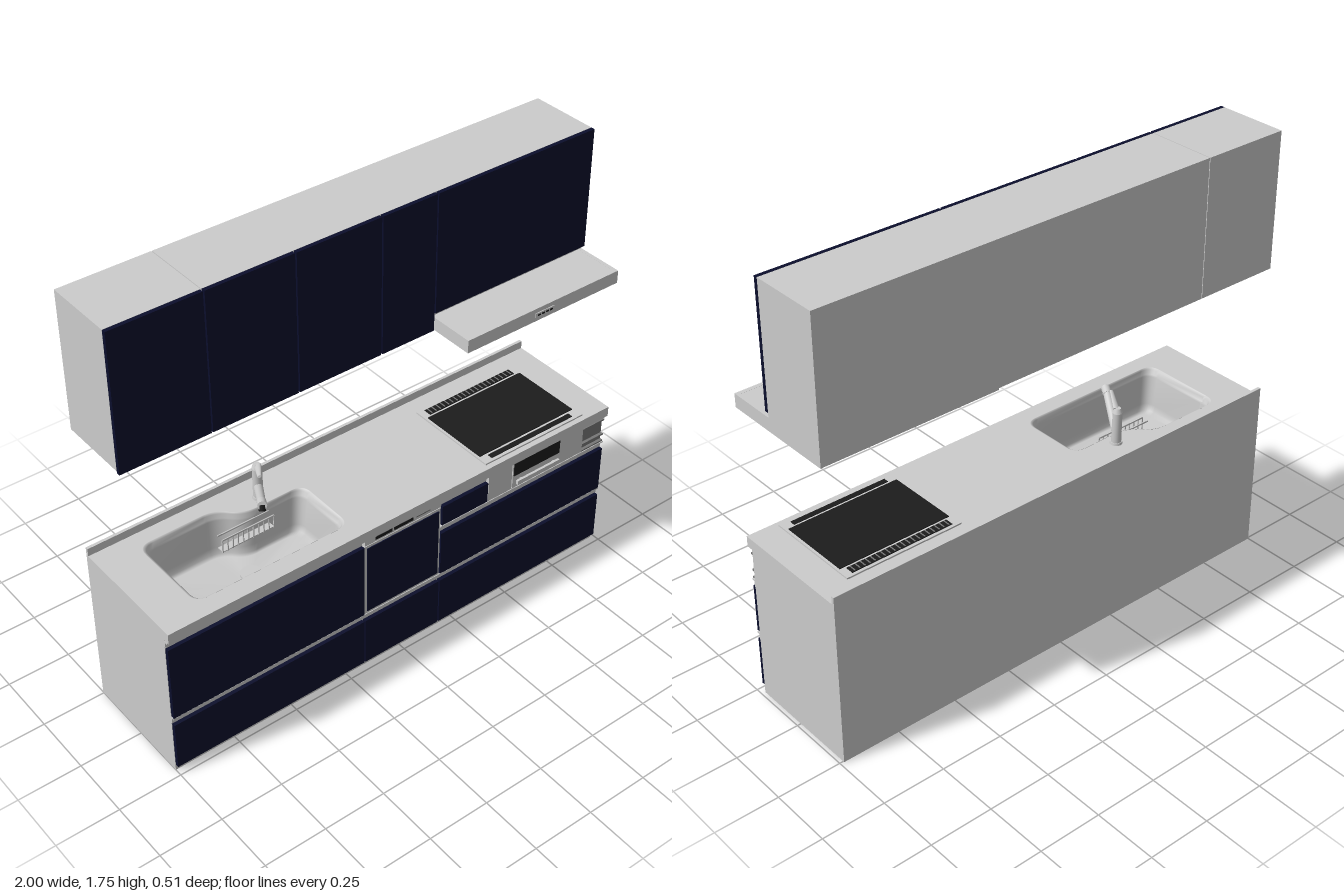
import * as THREE from 'three';

const mat = (color) => new THREE.MeshStandardMaterial({ color });
const grey = mat(0xcccccc);
const navy = mat(0x0b0e2c);
const black = mat(0x1c1c1c);
const dark = mat(0x777777);
const sinkMat = new THREE.MeshStandardMaterial({ color: 0xcccccc, side: THREE.DoubleSide });

export function createModel() {
  const root = new THREE.Group();

  const add = (name, geo, material = grey, parent = root) => {
    const m = new THREE.Mesh(geo, material);
    m.name = name;
    parent.add(m);
    return m;
  };
  // Box given by its extents on each axis
  const box = (name, x0, x1, y0, y1, z0, z1, material = grey, parent = root) => {
    const m = add(name, new THREE.BoxGeometry(x1 - x0, y1 - y0, z1 - z0), material, parent);
    m.position.set((x0 + x1) / 2, (y0 + y1) / 2, (z0 + z1) / 2);
    return m;
  };
  const group = (name) => {
    const g = new THREE.Group();
    g.name = name;
    root.add(g);
    return g;
  };
  // Rectangle in x / z
  const rect = (Type, x0, x1, z0, z1) => {
    const p = new Type();
    p.moveTo(x0, z0).lineTo(x1, z0).lineTo(x1, z1).lineTo(x0, z1).closePath();
    return p;
  };
  // Slab lying flat, extruded down from y = top
  const slab = (name, shape, top, depth, material, parent) => {
    const geo = new THREE.ExtrudeGeometry(shape, { depth, bevelEnabled: false, curveSegments: 8 });
    geo.rotateX(Math.PI / 2);
    add(name, geo, material, parent).position.y = top;
  };
  // Tapered rod between two points
  const rod = (name, a, b, ra, rb, material, parent) => {
    const A = new THREE.Vector3(...a), B = new THREE.Vector3(...b);
    const dir = B.clone().sub(A);
    const m = add(name, new THREE.CylinderGeometry(rb, ra, dir.length(), 20), material, parent);
    m.position.copy(A).add(B).multiplyScalar(0.5);
    m.quaternion.setFromUnitVectors(new THREE.Vector3(0, 1, 0), dir.normalize());
    return m;
  };

  // ---- Base cabinet carcass (open on top so the sink can drop in)
  const base = group('baseCabinet');
  const L = -1, R = 0.985, B = -0.255, F = 0.22;
  box('basePanelBack', L, R, 0, 0.63, B, B + 0.015, grey, base);
  box('basePanelFront', L, R, 0, 0.63, F - 0.015, F, grey, base);
  box('basePanelSide', L, L + 0.015, 0, 0.63, B, F, grey, base);
  box('basePanelSide', R - 0.015, R, 0, 0.63, B, F, grey, base);
  box('baseFloor', L, R, 0, 0.015, B, F, grey, base);

  // ---- Drawer fronts and handle rails
  const fronts = group('drawerFronts');
  const front = (x0, x1, y0, y1) => box('drawerFront', x0, x1, y0, y1, F + 0.003, 0.238, navy, fronts);
  [[L, -0.18], [-0.175, 0.17], [0.175, 0.982]].forEach(([x0, x1]) => front(x0, x1, 0.03, 0.235));
  front(L, -0.18, 0.27, 0.59);
  front(0.175, 0.982, 0.27, 0.465);
  front(0.178, 0.395, 0.503, 0.59);
  const rail = (x0, x1, y) => {
    box('handleRail', x0, x1, y, y + 0.03, F, F + 0.004, grey, fronts);
    box('handleLip', x0, x1, y + 0.024, y + 0.03, F, 0.236, grey, fronts);
  };
  rail(L, R, 0.237);
  rail(0.175, R, 0.468);
  rail(L, -0.18, 0.593);
  rail(0.175, 0.398, 0.593);

  // ---- Dishwasher
  const washer = group('dishwasher');
  box('washerFrame', -0.177, 0.172, 0.268, 0.588, F, 0.234, grey, washer);
  box('washerDoor', -0.166, 0.162, 0.28, 0.577, F, 0.238, navy, washer);
  box('washerControlStrip', -0.177, 0.172, 0.593, 0.624, F, 0.236, grey, washer);
  [[-0.13, -0.055], [-0.045, 0.04]].forEach(([x0, x1]) =>
    box('washerDisplay', x0, x1, 0.602, 0.615, F, 0.239, black, washer));
  box('washerButtons', 0.055, 0.12, 0.606, 0.611, F, 0.238, dark, washer);

  // ---- Grill with window and handle, and the open niche beside it
  const grill = group('grill');
  box('grillPanel', 0.4, 0.865, 0.5, 0.624, F, 0.235, grey, grill);
  box('grillDoor', 0.515, 0.75, 0.505, 0.622, F, 0.239, grey, grill);
  box('grillWindow', 0.52, 0.747, 0.562, 0.62, F, 0.242, black, grill);
  box('grillHandle', 0.53, 0.74, 0.522, 0.54, 0.243, 0.253, grey, grill);
  [0.55, 0.71].forEach((x) => box('grillHandlePost', x, x + 0.01, 0.524, 0.538, 0.235, 0.246, grey, grill));
  box('nicheBack', 0.865, 0.982, 0.5, 0.624, F, 0.223, dark, grill);
  box('nicheSide', 0.865, 0.872, 0.5, 0.624, F, 0.235, grey, grill);
  [0.5, 0.53, 0.6].forEach((y) => box('nicheShelf', 0.87, 0.982, y, y + 0.006, F, 0.235, dark, grill));

  // ---- Sink outline: rounded, with a step at the back for the tap
  const corners = [[-0.84, -0.175], [-0.53, -0.175], [-0.45, -0.095], [-0.2, -0.095], [-0.2, 0.175], [-0.84, 0.175]];
  const outline = (Type) => {
    const path = new Type();
    const n = corners.length;
    corners.forEach((c, i) => {
      const p = new THREE.Vector2(...c);
      const toward = (q) => p.clone().add(new THREE.Vector2(...q).sub(p).setLength(0.05));
      const a = toward(corners[(i + n - 1) % n]), b = toward(corners[(i + 1) % n]);
      if (i === 0) path.moveTo(a.x, a.y);
      else path.lineTo(a.x, a.y);
      path.quadraticCurveTo(p.x, p.y, b.x, b.y);
    });
    path.closePath();
    return path;
  };

  // ---- Worktop and backsplash
  const top = rect(THREE.Shape, L, R, B, 0.247);
  top.holes.push(outline(THREE.Path));
  slab('worktop', top, 0.668, 0.042, grey, root);
  box('backsplash', L, R, 0.66, 0.7, B, B + 0.012);

  // ---- Sink bowl lofted from the outline
  const sink = group('sink');
  const pts = outline(THREE.Path).getPoints(8);
  const rings = [[1.01, 0.67], [1, 0.67], [0.975, 0.664], [0.965, 0.645], [0.94, 0.64], [0.92, 0.52], [0.9, 0.492], [0.85, 0.48], [0.01, 0.475]];
  const cx = -0.53, cz = 0.03, pos = [], idx = [], n = pts.length;
  rings.forEach(([s, y]) => pts.forEach((p) => pos.push(cx + (p.x - cx) * s, y, cz + (p.y - cz) * s)));
  for (let r = 0; r < rings.length - 1; r++) {
    for (let i = 0; i < n - 1; i++) {
      const a = r * n + i, b = a + n;
      idx.push(a, b, a + 1, a + 1, b, b + 1);
    }
  }
  const bowl = new THREE.BufferGeometry();
  bowl.setAttribute('position', new THREE.Float32BufferAttribute(pos, 3));
  bowl.setIndex(idx);
  bowl.computeVertexNormals();
  add('sinkBowl', bowl, sinkMat, sink);
  add('sinkDrain', new THREE.CylinderGeometry(0.04, 0.04, 0.008, 28), grey, sink).position.set(-0.5, 0.481, 0.0);

  // Wire rack at the back of the sink
  box('rackShelf', -0.58, -0.36, 0.588, 0.592, -0.08, -0.05, grey, sink);
  [-0.08, -0.05].forEach((z) => box('rackRail', -0.58, -0.36, 0.64, 0.646, z - 0.002, z + 0.002, grey, sink));
  for (let i = 0; i <= 10; i++) {
    const x = -0.58 + i * 0.022;
    box('rackBar', x - 0.002, x + 0.002, 0.588, 0.643, -0.052, -0.048, grey, sink);
  }

  // ---- Tap
  const tap = group('tap');
  rod('tapFoot', [-0.36, 0.665, -0.14], [-0.36, 0.677, -0.14], 0.024, 0.022, grey, tap);
  rod('tapBody', [-0.36, 0.67, -0.14], [-0.36, 0.8, -0.143], 0.019, 0.018, grey, tap);
  rod('tapCap', [-0.36, 0.8, -0.143], [-0.36, 0.818, -0.143], 0.019, 0.012, grey, tap);
  rod('tapSpout', [-0.362, 0.718, -0.135], [-0.446, 0.784, 0.005], 0.017, 0.015, grey, tap);
  rod('tapHead', [-0.44, 0.779, -0.005], [-0.458, 0.788, 0.026], 0.017, 0.017, grey, tap);
  rod('tapNozzle', [-0.453, 0.787, 0.017], [-0.458, 0.766, 0.024], 0.014, 0.013, black, tap);
  rod('tapLever', [-0.358, 0.81, -0.14], [-0.405, 0.834, -0.062], 0.014, 0.008, grey, tap).scale.z = 0.6;

  // ---- Cooktop
  const hob = group('cooktop');
  box('cooktopFrame', 0.39, 0.87, 0.667, 0.674, -0.17, 0.225, grey, hob);
  box('cooktopGlass', 0.4, 0.86, 0.668, 0.677, -0.115, 0.18, black, hob);
  box('cooktopVent', 0.42, 0.84, 0.668, 0.677, -0.158, -0.125, black, hob);
  for (let i = 0; i < 20; i++) {
    const x = 0.43 + i * 0.0208;
    box('ventSlat', x, x + 0.004, 0.67, 0.679, -0.156, -0.127, dark, hob);
  }
  box('cooktopControls', 0.43, 0.83, 0.668, 0.676, 0.19, 0.212, black, hob);

  // ---- Wall cabinets
  const wall = group('wallCabinets');
  const T = 1.75;
  box('wallCabinet', -1, -0.647, 1.21, T, B, 0.02, grey, wall);
  box('wallCabinet', -0.644, 0.29, 1.21, T, B, 0.02, grey, wall);
  box('wallCabinet', 0.29, 1, 1.25, T, B, 0.02, grey, wall);
  const edges = [-1, -0.646, -0.296, 0.055, 0.29, 1];
  for (let i = 0; i < 5; i++) {
    const gap = (k) => (k === 0 || k === 5 ? 0 : 0.003);
    box('wallDoor', edges[i] + gap(i), edges[i + 1] - gap(i + 1), i === 4 ? 1.272 : 1.203, T, 0.021, 0.036, navy, wall);
  }

  // ---- Range hood: shallow tray open underneath
  const hood = group('rangeHood');
  const rim = rect(THREE.Shape, 0.29, 1, B, 0.213);
  rim.holes.push(rect(THREE.Path, 0.305, 0.985, B + 0.015, 0.198));
  slab('hoodRim', rim, 1.255, 0.052, grey, hood);
  box('hoodTop', 0.3, 0.99, 1.243, 1.2545, B + 0.01, 0.205, grey, hood);
  box('hoodFilterPlate', 0.345, 0.945, 1.215, 1.228, -0.225, 0.1, dark, hood);
  box('hoodFilterMount', 0.45, 0.85, 1.225, 1.245, -0.15, 0.05, dark, hood);
  box('hoodLamp', 0.57, 0.73, 1.218, 1.245, 0.115, 0.165, grey, hood);
  box('hoodLampLens', 0.59, 0.71, 1.215, 1.22, 0.125, 0.155, dark, hood);
  box('hoodControl', 0.6, 0.69, 1.219, 1.237, 0.21, 0.216, grey, hood);
  for (let i = 0; i < 4; i++) {
    const x = 0.61 + i * 0.019;
    box('hoodButton', x, x + 0.011, 1.225, 1.231, 0.212, 0.218, black, hood);
  }

  return root;
}
